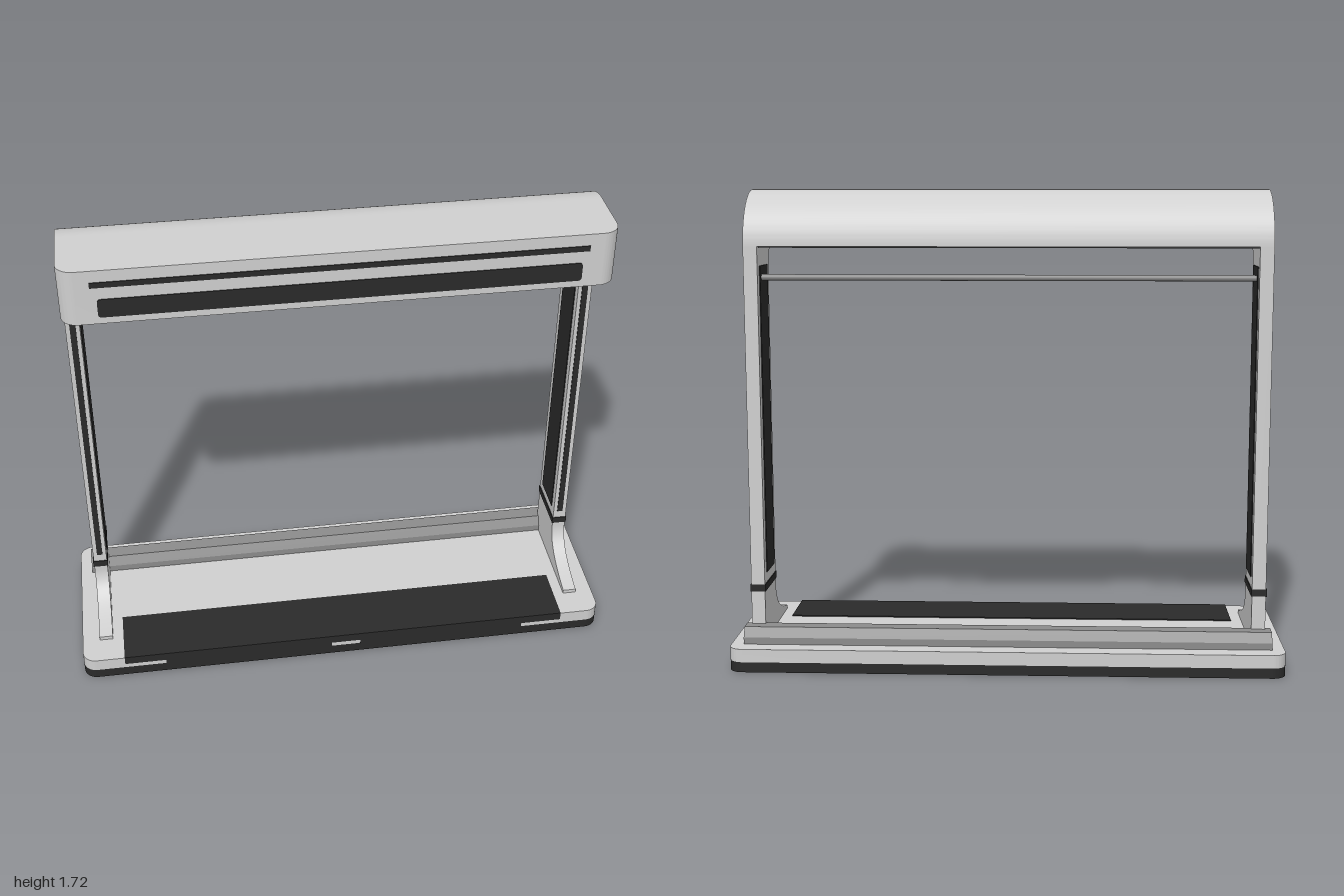
import * as THREE from 'three';
import { toCreasedNormals } from 'three/addons/utils/BufferGeometryUtils.js';

const mat = (name, color) => Object.assign(new THREE.MeshStandardMaterial({ color }), { name });

export function createModel() {
  const light = mat('lightGrey', 0xd0d0d0);
  const mid = mat('midGrey', 0x8c8c8c);
  const dark = mat('charcoal', 0x2a2a2a);
  const model = new THREE.Group();
  model.name = 'deskLampFrame';

  const add = (name, geo, material, parent = model) => {
    const mesh = new THREE.Mesh(geo, material);
    mesh.name = name;
    parent.add(mesh);
    return mesh;
  };
  // box given by its min and max corners
  const box = (name, a, b, material, parent) => {
    const g = new THREE.BoxGeometry(b[0] - a[0], b[1] - a[1], b[2] - a[2]);
    g.translate((a[0] + b[0]) / 2, (a[1] + b[1]) / 2, (a[2] + b[2]) / 2);
    return add(name, g, material, parent);
  };
  // side outline in (z, y), extruded along x and centred on cx
  const sideExtrude = (shape, width, cx = 0) => {
    const g = new THREE.ExtrudeGeometry(shape, { depth: width, bevelEnabled: false, curveSegments: 20 });
    g.translate(0, 0, -width / 2).rotateY(-Math.PI / 2).translate(cx, 0, 0);
    return toCreasedNormals(g, 0.5);
  };
  // plan outline in (x, -z), extruded from y0 to y1
  const planExtrude = (shape, y0, y1) => {
    const g = new THREE.ExtrudeGeometry(shape, { depth: y1 - y0, bevelEnabled: false, curveSegments: 10 });
    g.rotateX(-Math.PI / 2).translate(0, y0, 0);
    return toCreasedNormals(g, 0.5);
  };
  const roundRect = (x0, y0, x1, y1, r) => {
    const s = new THREE.Shape();
    s.absarc(x1 - r, y0 + r, r, -Math.PI / 2, 0);
    s.absarc(x1 - r, y1 - r, r, 0, Math.PI / 2);
    s.absarc(x0 + r, y1 - r, r, Math.PI / 2, Math.PI);
    s.absarc(x0 + r, y0 + r, r, Math.PI, Math.PI * 1.5);
    s.closePath();
    return s;
  };
  const polygon = (pts) => new THREE.Shape(pts.map(([x, y]) => new THREE.Vector2(x, y)));

  // base
  const plan = roundRect(-1, -0.33, 1, 0.33, 0.05);
  add('baseFoot', planExtrude(plan, 0, 0.037), dark);
  add('basePlate', planExtrude(plan, 0.037, 0.085), light);

  // control pad folded over the front edge
  box('controlPad', [-0.845, 0.083, 0.11], [0.845, 0.089, 0.328], dark);
  box('padFrontLip', [-0.845, 0.056, 0.322], [0.845, 0.089, 0.333], dark);
  for (const s of [-1, 1]) {
    const xs = [s * 0.055, s * 0.69];
    box('padLowerLip', [Math.min(...xs), 0.037, 0.324], [Math.max(...xs), 0.056, 0.333], dark);
  }

  // rear rail and crossbar
  add('rearRail', sideExtrude(polygon([[-0.265, 0.08], [-0.17, 0.08], [-0.17, 0.11],
    [-0.19, 0.145], [-0.245, 0.145], [-0.265, 0.11]]), 1.91), mid);
  const rod = new THREE.CylinderGeometry(0.011, 0.011, 1.78, 16).rotateZ(Math.PI / 2);
  rod.translate(0, 1.408, -0.14);
  add('crossbar', rod, mid);

  // post outline with flared foot and fillet under the hood
  const post = new THREE.Shape();
  post.moveTo(-0.205, 0.085);
  post.lineTo(0.22, 0.085);
  post.lineTo(0.22, 0.1);
  post.bezierCurveTo(0.1, 0.12, 0, 0.16, 0, 0.25);
  post.lineTo(0, 1.45);
  post.absarc(0.07, 1.45, 0.07, Math.PI, Math.PI / 2, true);
  post.lineTo(-0.205, 1.52);
  post.closePath();

  // hooked stripe on the outer side of each post
  const stripe = new THREE.Shape();
  stripe.moveTo(-0.132, 0.28);
  stripe.lineTo(-0.132, 1.52);
  stripe.absarc(0, 1.52, 0.132, Math.PI, Math.PI / 2, true);
  stripe.lineTo(0.08, 1.652);
  stripe.lineTo(0.08, 1.677);
  stripe.lineTo(0, 1.677);
  stripe.absarc(0, 1.52, 0.157, Math.PI / 2, Math.PI, false);
  stripe.lineTo(-0.157, 0.28);
  stripe.closePath();

  for (const s of [-1, 1]) {
    const side = new THREE.Group();
    side.name = s > 0 ? 'leftPost' : 'rightPost';
    model.add(side);
    const plate = (name, x0, x1, y0, y1, z0, z1) =>
      box(name, [Math.min(s * x0, s * x1), y0, z0], [Math.max(s * x0, s * x1), y1, z1], dark, side);
    add('postBody', sideExtrude(post, 0.05, s * 0.91), light, side);
    add('outerStripe', sideExtrude(stripe, 0.006, s * 0.935), dark, side);
    plate('postBand', 0.882, 0.938, 0.267, 0.293, -0.208, 0.003);
    plate('frontSlot', 0.899, 0.92, 0.325, 1.43, -0.004, 0.003);
    plate('innerPanel', 0.882, 0.888, 0.33, 1.45, -0.17, -0.03);
  }

  // hood: curved back and front block with rounded corners
  const hood = new THREE.Group();
  hood.name = 'hood';
  model.add(hood);
  const back = new THREE.Shape();
  back.moveTo(-0.205, 1.52);
  back.lineTo(0, 1.52);
  back.lineTo(0, 1.72);
  back.absellipse(0, 1.52, 0.205, 0.2, Math.PI / 2, Math.PI, false);
  add('hoodBack', sideExtrude(back, 1.87), light, hood);
  const front = new THREE.Shape();
  front.moveTo(0.935, 0);
  front.lineTo(-0.935, 0);
  front.lineTo(-0.935, -0.18);
  front.absarc(-0.875, -0.18, 0.06, Math.PI, Math.PI * 1.5, false);
  front.absarc(0.875, -0.18, 0.06, Math.PI * 1.5, Math.PI * 2, false);
  front.closePath();
  add('hoodFront', planExtrude(front, 1.52, 1.72), light, hood);

  // hood front details
  box('frontStripe', [-0.83, 1.657, 0.236], [0.83, 1.677, 0.243], dark, hood);
  const win = new THREE.ExtrudeGeometry(roundRect(-0.81, 1.545, 0.81, 1.613, 0.012),
    { depth: 0.006, bevelEnabled: false });
  add('frontPanel', win.translate(0, 0, 0.237), dark, hood);

  // hood underside
  box('undersidePanel', [-0.884, 1.515, -0.185], [0.884, 1.523, 0.06], dark, hood);
  add('lampTray', planExtrude(roundRect(-0.86, -0.215, 0.86, -0.06, 0.04), 1.516, 1.522), mid, hood);
  add('lampStrip', planExtrude(roundRect(-0.81, -0.195, 0.81, -0.13, 0.03), 1.513, 1.521), dark, hood);

  return model;
}
